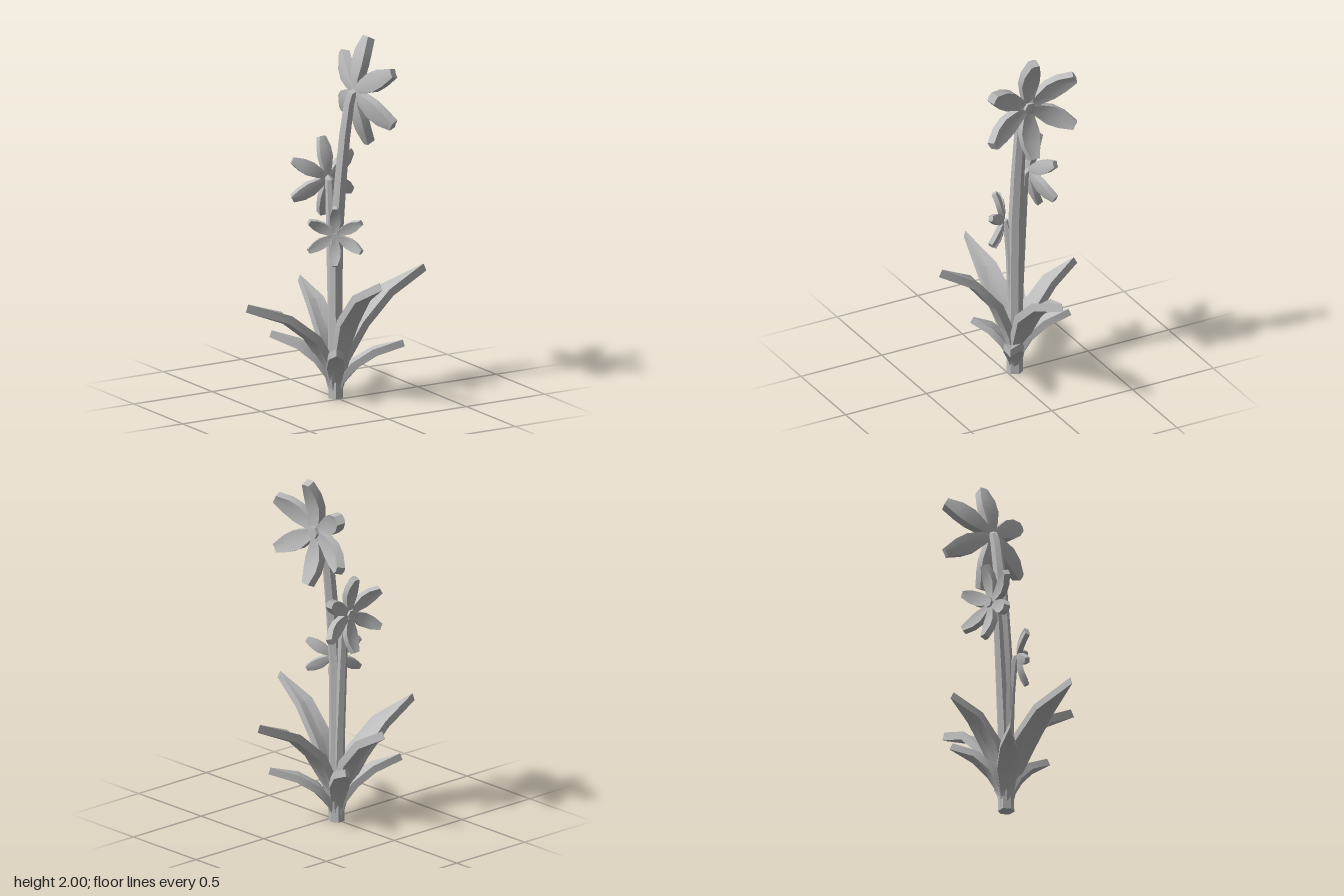
import * as THREE from 'three';
import { toCreasedNormals } from 'three/addons/utils/BufferGeometryUtils.js';

const V = (x, y, z) => new THREE.Vector3(x, y, z);
const UP = V(0, 1, 0);
const BASE = V(0.005, 0, -0.045);

// Sweeps a cross-section (list of [side, normal] pairs per station) along a path
function sweep(path, side, section) {
  const pos = [], index = [];
  const n = section(0).length;
  path.forEach((p, i) => {
    const t = path[Math.min(i + 1, path.length - 1)].clone()
      .sub(path[Math.max(i - 1, 0)]).normalize();
    const normal = t.cross(side).normalize();
    for (const [u, v] of section(i)) {
      pos.push(...p.clone().addScaledVector(side, u).addScaledVector(normal, v).toArray());
    }
  });
  for (let i = 0; i < path.length - 1; i++) {
    for (let j = 0; j < n; j++) {
      const a = i * n + j, b = i * n + (j + 1) % n;
      index.push(a, b, b + n, a, b + n, a + n);
    }
  }
  const last = (path.length - 1) * n;
  for (let j = 1; j < n - 1; j++) {
    index.push(0, j + 1, j, last, last + j, last + j + 1);
  }
  const geo = new THREE.BufferGeometry();
  geo.setAttribute('position', new THREE.Float32BufferAttribute(pos, 3));
  geo.setIndex(index);
  return toCreasedNormals(geo, 0.5);
}

// Thick curved blade with a shallow fold down the middle; profile rows are [along, lift, width]
function blade(origin, dir, up, profile, thick, fold) {
  const path = profile.map(([r, h]) =>
    origin.clone().addScaledVector(dir, r).addScaledVector(up, h));
  const side = up.clone().cross(dir).normalize();
  return sweep(path, side, (i) => {
    const w = profile[i][2] / 2, t = thick / 2;
    const f = fold * Math.min(1, w / 0.05);
    return [[w, -t], [w, t], [0, t - f], [-w, t], [-w, -t], [0, -t - f]];
  });
}

// Six-sided tapering stem
function stem(points, side, r0, r1) {
  const path = points.map((p) => V(...p));
  return sweep(path, side, (i) => {
    const r = r0 + (r1 - r0) * i / (path.length - 1);
    return Array.from({ length: 6 }, (_, k) => {
      const a = (k + 0.5) * Math.PI / 3;
      return [r * Math.cos(a), r * Math.sin(a)];
    });
  });
}

export function createModel() {
  const model = new THREE.Group();
  const grey = new THREE.MeshStandardMaterial({ color: 0xbcbcbc });
  grey.name = 'plant grey';
  const add = (parent, name, geo) => {
    const mesh = new THREE.Mesh(geo, grey);
    mesh.name = name;
    parent.add(mesh);
    return mesh;
  };

  // Stems
  const facing = V(-0.6, 0, 0.8);
  add(model, 'tallStem', stem([
    [0.005, 0, -0.045], [0.005, 0.5, -0.045], [0.01, 0.9, -0.045], [0.035, 1.2, -0.045],
    [0.062, 1.45, -0.045], [0.09, 1.63, -0.045], [0.106, 1.68, -0.045], [0.14, 1.695, -0.045],
  ], V(0, 0, 1), 0.045, 0.026));
  add(model, 'middleStem', stem([
    [0.005, 0.02, -0.05], [0.005, 0.5, -0.066], [0.005, 0.85, -0.085],
    [0.005, 1.1, -0.1], [0.005, 1.2, -0.11], [0.005, 1.22, -0.14],
  ], V(1, 0, 0), 0.036, 0.02));
  add(model, 'shortStem', stem([
    [0.005, 0.02, -0.04], [0.002, 0.4, -0.035], [-0.005, 0.7, -0.025],
    [-0.015, 0.88, -0.012], [-0.022, 0.92, 0], [-0.036, 0.925, 0.02],
  ], UP.clone().cross(facing).negate(), 0.034, 0.016));

  // Leaves: tip x, y, z and greatest width
  const leafShape = [
    [0.01, 0.05, 0.3], [0.07, 0.32, 0.62], [0.27, 0.62, 1], [0.57, 0.85, 0.8], [1, 1, 0.02],
  ];
  const leaves = [
    [0.565, 0.655, -0.03, 0.14], [-0.56, 0.575, -0.047, 0.14],
    [0.005, 0.72, 0.415, 0.12], [0.005, 0.585, -0.42, 0.12],
    [0.315, 0.305, 0.155, 0.11], [-0.283, 0.35, -0.25, 0.11],
    [-0.115, 0.31, 0.155, 0.1], [0.17, 0.375, -0.295, 0.11],
  ];
  leaves.forEach(([x, y, z, width], i) => {
    const dir = V(x, 0, z).sub(BASE);
    const reach = dir.length();
    const profile = leafShape.map(([h, v, w]) => [h * reach, v * y, w * width]);
    add(model, i < 4 ? 'largeLeaf' : 'smallLeaf',
      blade(BASE, dir.normalize(), UP, profile, i < 4 ? 0.045 : 0.04, 0.012));
  });

  // Flowers: six curled petals around a hexagonal centre, facing local +z
  const petalShape = [
    [0.0, 0.025, 0.035], [0.08, 0.027, 0.075], [0.15, 0.04, 0.108],
    [0.22, 0.062, 0.098], [0.293, 0.097, 0.05],
  ];
  const flower = (name, position, forward, scale) => {
    const group = new THREE.Group();
    group.name = name;
    for (let k = 0; k < 6; k++) {
      const a = Math.PI / 6 + k * Math.PI / 3;
      add(group, 'petal', blade(V(0, 0, 0), V(Math.cos(a), Math.sin(a), 0), V(0, 0, 1),
        petalShape, 0.048, 0.008));
    }
    const centre = new THREE.CylinderGeometry(0.037, 0.037, 0.06, 6);
    centre.rotateX(Math.PI / 2).rotateZ(Math.PI / 6);
    add(group, 'flowerCentre', toCreasedNormals(centre, 0.5)).position.z = 0.035;
    group.position.set(...position);
    group.rotation.y = Math.atan2(forward.x, forward.z);
    group.scale.setScalar(scale);
    model.add(group);
  };
  flower('topFlower', [0.12, 1.695, -0.045], V(1, 0, 0), 1);
  flower('middleFlower', [0.005, 1.213, -0.123], V(0, 0, -1), 0.73);
  flower('lowFlower', [-0.025, 0.925, 0.005], facing, 0.56);

  return model;
}
